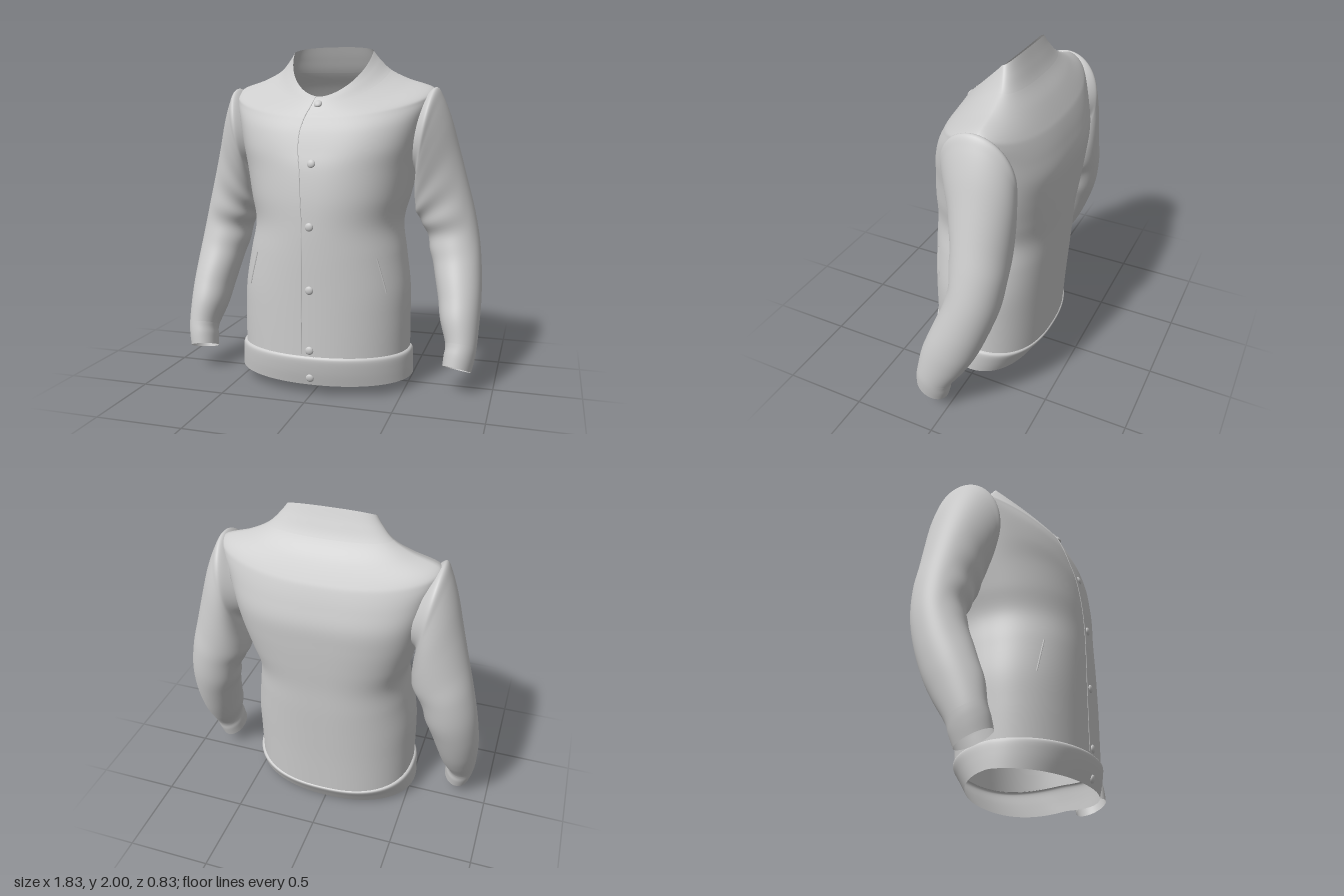
import * as THREE from 'three';

const cloth = new THREE.MeshStandardMaterial({ color: 0xcccccc, side: THREE.DoubleSide });
cloth.name = 'light grey cloth';

// Smoothly interpolate a list of parameter rows; v is a fractional row number.
function sampleRows(rows, v) {
  const i = Math.min(Math.floor(v), rows.length - 2), t = v - i;
  const at = (k) => rows[Math.max(0, Math.min(rows.length - 1, k))];
  return rows[i].map((_, k) => {
    const a = at(i - 1)[k], b = at(i)[k], c = at(i + 1)[k], d = at(i + 2)[k];
    return b + 0.5 * t * (c - a + t * (2 * a - 5 * b + 4 * c - d + t * (3 * (b - c) + d - a)));
  });
}

// Open tube of closed rings, point(v, angle) giving the surface, v from v0 to v1.
function loft(name, point, v0, v1, steps, around = 64) {
  const pos = [], index = [];
  for (let i = 0; i <= steps; i++) {
    const v = v0 + ((v1 - v0) * i) / steps;
    for (let j = 0; j < around; j++) pos.push(...point(v, (j / around) * Math.PI * 2));
  }
  for (let i = 0; i < steps; i++) for (let j = 0; j < around; j++) {
    const k = (j + 1) % around, a = i * around, b = a + around;
    index.push(a + j, a + k, b + k, a + j, b + k, b + j);
  }
  const geo = new THREE.BufferGeometry();
  geo.setAttribute('position', new THREE.Float32BufferAttribute(pos, 3));
  geo.setIndex(index);
  geo.computeVertexNormals();
  const mesh = new THREE.Mesh(geo, cloth);
  mesh.name = name;
  return mesh;
}

// Torso rings: half width, y front/side/back, z front/side/back, squareness front/back
const torsoRows = [
  [0.505, 0.235, 0.225, 0.155, 0.4, 0.04, -0.33, 2.1, 2.4],
  [0.505, 0.42, 0.42, 0.4, 0.4, 0.04, -0.345, 2.1, 2.4],
  [0.5, 0.6, 0.6, 0.6, 0.4, 0.03, -0.36, 2.1, 2.4],
  [0.47, 0.8, 0.8, 0.8, 0.4, 0.01, -0.375, 2.1, 2.5],
  [0.445, 0.97, 0.97, 0.97, 0.397, -0.02, -0.385, 2.1, 2.6],
  [0.48, 1.13, 1.13, 1.13, 0.388, -0.06, -0.4, 2.2, 2.7],
  [0.515, 1.29, 1.29, 1.29, 0.365, -0.1, -0.412, 2.3, 2.8],
  [0.545, 1.4, 1.45, 1.42, 0.335, -0.12, -0.415, 2.5, 2.8],
  [0.58, 1.5, 1.6, 1.53, 0.302, -0.13, -0.39, 2.4, 2.6],
  [0.612, 1.57, 1.71, 1.62, 0.272, -0.14, -0.36, 2.1, 2.3],
  [0.595, 1.595, 1.76, 1.67, 0.26, -0.14, -0.335, 2, 2.2],
  [0.45, 1.625, 1.81, 1.76, 0.245, -0.14, -0.28, 2, 2.3],
  [0.345, 1.66, 1.862, 1.85, 0.225, -0.13, -0.215, 1.9, 2.4],
  [0.28, 1.685, 1.925, 1.93, 0.21, -0.11, -0.175, 1.8, 2.5],
  [0.245, 1.7, 1.97, 2.0, 0.195, -0.095, -0.145, 1.75, 2.6],
];
const hemRows = [
  [0.53, 0.062, 0.07, 0, 0.38, 0.04, -0.25, 2.1, 2.2],
  [0.528, 0.14, 0.145, 0.075, 0.4, 0.04, -0.295, 2.1, 2.3],
  [0.522, 0.215, 0.212, 0.14, 0.412, 0.04, -0.335, 2.1, 2.4],
  [0.505, 0.235, 0.228, 0.157, 0.402, 0.04, -0.328, 2.1, 2.4],
];
const ringPoint = (rows) => (v, a) => {
  const [w, yF, yS, yB, zF, zS, zB, nF, nB] = sampleRows(rows, v);
  const s = Math.sin(a), c = Math.cos(a), front = c >= 0, n = front ? nF : nB;
  const drop = Math.abs(c) ** 1.1;
  return [
    w * Math.sign(s) * Math.abs(s) ** (2 / n),
    yS + ((front ? yF : yB) - yS) * drop,
    zS + ((front ? zF : zB) - zS) * Math.abs(c) ** (2 / n),
  ];
};
const torsoPoint = ringPoint(torsoRows);

// Sleeve rings: inner x, y, outer x, y, z front, z back, front lift
const sleeveRows = [
  [0.715, 0.15, 0.88, 0.125, 0.195, 0.0, 0.04],
  [0.72, 0.21, 0.895, 0.19, 0.185, -0.02, 0.043],
  [0.725, 0.275, 0.905, 0.26, 0.167, -0.04, 0.045],
  [0.685, 0.4, 0.912, 0.39, 0.14, -0.125, 0.045],
  [0.662, 0.52, 0.915, 0.52, 0.095, -0.195, 0.04],
  [0.625, 0.68, 0.908, 0.68, 0.035, -0.262, 0.03],
  [0.592, 0.8, 0.888, 0.86, -0.015, -0.31, 0.02],
  [0.56, 0.92, 0.852, 1.04, -0.018, -0.333, 0],
  [0.515, 0.99, 0.805, 1.22, 0.0, -0.338, 0],
  [0.5, 1.06, 0.757, 1.4, 0.025, -0.342, 0],
  [0.5, 1.13, 0.71, 1.57, 0.06, -0.343, 0],
  [0.505, 1.19, 0.662, 1.695, 0.088, -0.338, 0],
  [0.51, 1.25, 0.622, 1.757, 0.1, -0.33, 0],
  [0.45, 1.28, 0.57, 1.72, 0.06, -0.29, 0],
];
const sleevePoint = (side) => (v, angle) => {
  const a = angle * side;
  const [xi, yi, xo, yo, zf, zb, lift] = sampleRows(sleeveRows, v);
  // soft folds on the inside of the elbow
  const fold = 0.012 * Math.exp(-(((v - 7) / 1.6) ** 2)) * Math.sin(v * 4.6) * Math.max(0, Math.cos(a + 0.7));
  const s = Math.sin(a) * (1 + fold * 4), c = Math.cos(a) * (1 + fold * 4);
  return [
    side * ((xi + xo) / 2 + ((xo - xi) / 2) * s),
    (yi + yo) / 2 + ((yo - yi) / 2) * s + lift * c,
    (zf + zb) / 2 + ((zf - zb) / 2) * c,
  ];
};

// Raised seam following the torso surface from (v, angle) to (v, angle)
function seam(name, v0, a0, v1, a1, radius) {
  const pts = [];
  for (let i = 0; i <= 24; i++) {
    const t = i / 24;
    pts.push(new THREE.Vector3(...torsoPoint(v0 + (v1 - v0) * t, a0 + (a1 - a0) * t)));
  }
  const mesh = new THREE.Mesh(new THREE.TubeGeometry(new THREE.CatmullRomCurve3(pts), 48, radius, 6), cloth);
  mesh.name = name;
  return mesh;
}

export function createModel() {
  const jacket = new THREE.Group();
  jacket.name = 'jacket';

  jacket.add(loft('body', torsoPoint, 0, 12, 84, 96));
  jacket.add(loft('collar', torsoPoint, 12, 14, 14, 96));
  jacket.add(loft('waistband', ringPoint(hemRows), 0, 3, 15, 96));

  for (const side of [1, -1]) {
    const label = side > 0 ? 'left' : 'right';
    jacket.add(loft(label + 'Cuff', sleevePoint(side), 0, 2, 10));
    jacket.add(loft(label + 'Sleeve', sleevePoint(side), 2, 13, 88));
    jacket.add(seam(label + 'PocketWelt', 2, side * 0.95, 3, side * 0.85, 0.005));
  }
  jacket.add(seam('placketSeam', 0.1, -0.08, 13.9, -0.12, 0.003));

  // Domed snap buttons: y, z, backward lean
  const dome = new THREE.SphereGeometry(0.024, 20, 12);
  for (const [y, z, lean] of [[1.66, 0.225, 0.7], [1.33, 0.355, 0.25], [0.98, 0.397, 0.03],
    [0.62, 0.4, 0], [0.27, 0.4, 0], [0.105, 0.392, -0.2]]) {
    const button = new THREE.Mesh(dome, cloth);
    button.name = 'button';
    button.position.set(0, y, z);
    button.rotation.x = -lean;
    button.scale.z = 0.5;
    jacket.add(button);
  }
  return jacket;
}
